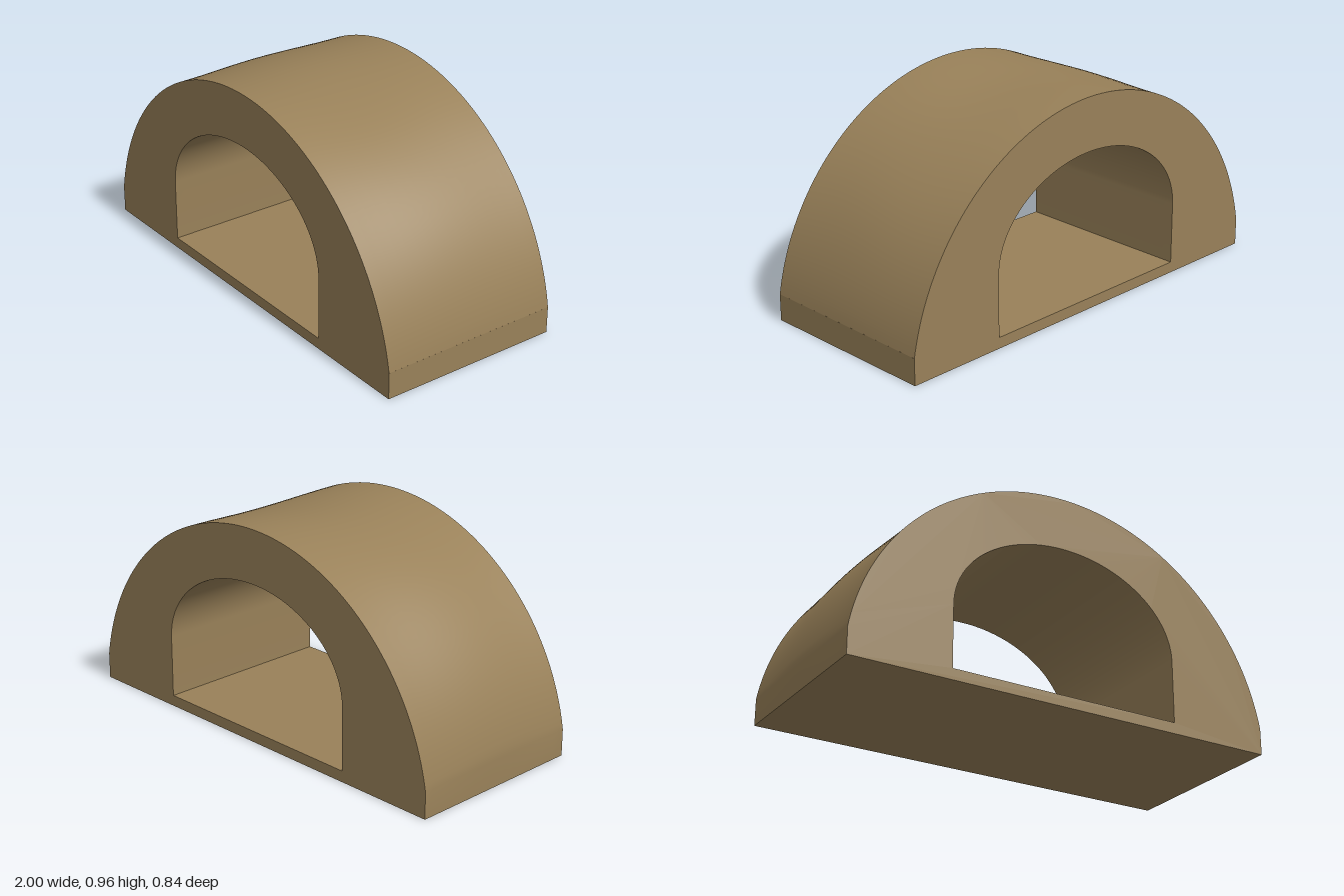
import * as THREE from 'three';
import { toCreasedNormals } from 'three/addons/utils/BufferGeometryUtils.js';

const DEPTH = 0.844;
const SPRING = 0.12;  // height where the outer arc begins
const RADIUS = 1.015; // outer arc, through (+-1, 0.12) and (0, 0.96)
const CENTER = 0.96 - RADIUS;

// Outer outline: short upright sides topped by a circular arc
function outerOutline() {
  const shape = new THREE.Shape();
  const start = Math.asin((SPRING - CENTER) / RADIUS);
  shape.moveTo(-1, 0);
  shape.lineTo(1, 0);
  shape.lineTo(1, SPRING);
  shape.absarc(0, CENTER, RADIUS, start, Math.PI - start, false);
  shape.lineTo(-1, 0);
  return shape;
}

// Opening: straight sides topped by half an ellipse
function opening() {
  const path = new THREE.Path();
  path.moveTo(-0.537, 0.05);
  path.lineTo(0.537, 0.05);
  path.lineTo(0.537, 0.33);
  path.absellipse(0, 0.33, 0.537, 0.39, 0, Math.PI, false, 0);
  path.lineTo(-0.537, 0.05);
  return path;
}

// Radial unevenness at mid-depth, every 20 degrees from the left foot (+x) to the right
const swell = new THREE.SplineCurve(
  [0, 0.002, 0.006, -0.003, -0.015, -0.003, 0.011, 0.012, 0.006, 0]
    .map((offset, i) => new THREE.Vector2(i, offset)),
);

// Hand-shaped outer skin: crown sags and shoulders swell between the two faces
function warpOuterSkin(geometry) {
  const p = geometry.attributes.position;
  for (let i = 0; i < p.count; i++) {
    const x = p.getX(i), y = p.getY(i) - CENTER;
    const r = Math.hypot(x, y);
    if (p.getY(i) <= SPRING || r < RADIUS - 0.02) continue;
    const mid = Math.cos(Math.PI * p.getZ(i) / DEPTH) ** 2;
    const k = 1 + mid * swell.getPoint(Math.atan2(y, x) / Math.PI).y / r;
    p.setXY(i, x * k, CENTER + y * k);
  }
}

export function createModel() {
  const group = new THREE.Group();
  group.name = 'archTunnel';
  const clay = new THREE.MeshStandardMaterial({ color: 0x998159 });
  clay.name = 'tan clay';

  // Arched block with a domed through-opening and a thin floor
  const outline = outerOutline();
  outline.holes.push(opening());
  const extruded = new THREE.ExtrudeGeometry(outline, {
    depth: DEPTH, steps: 16, curveSegments: 48, bevelEnabled: false,
  });
  extruded.translate(0, 0, -DEPTH / 2);
  warpOuterSkin(extruded);

  const shell = new THREE.Mesh(toCreasedNormals(extruded, Math.PI / 5), clay);
  shell.name = 'archShell';
  group.add(shell);
  return group;
}
